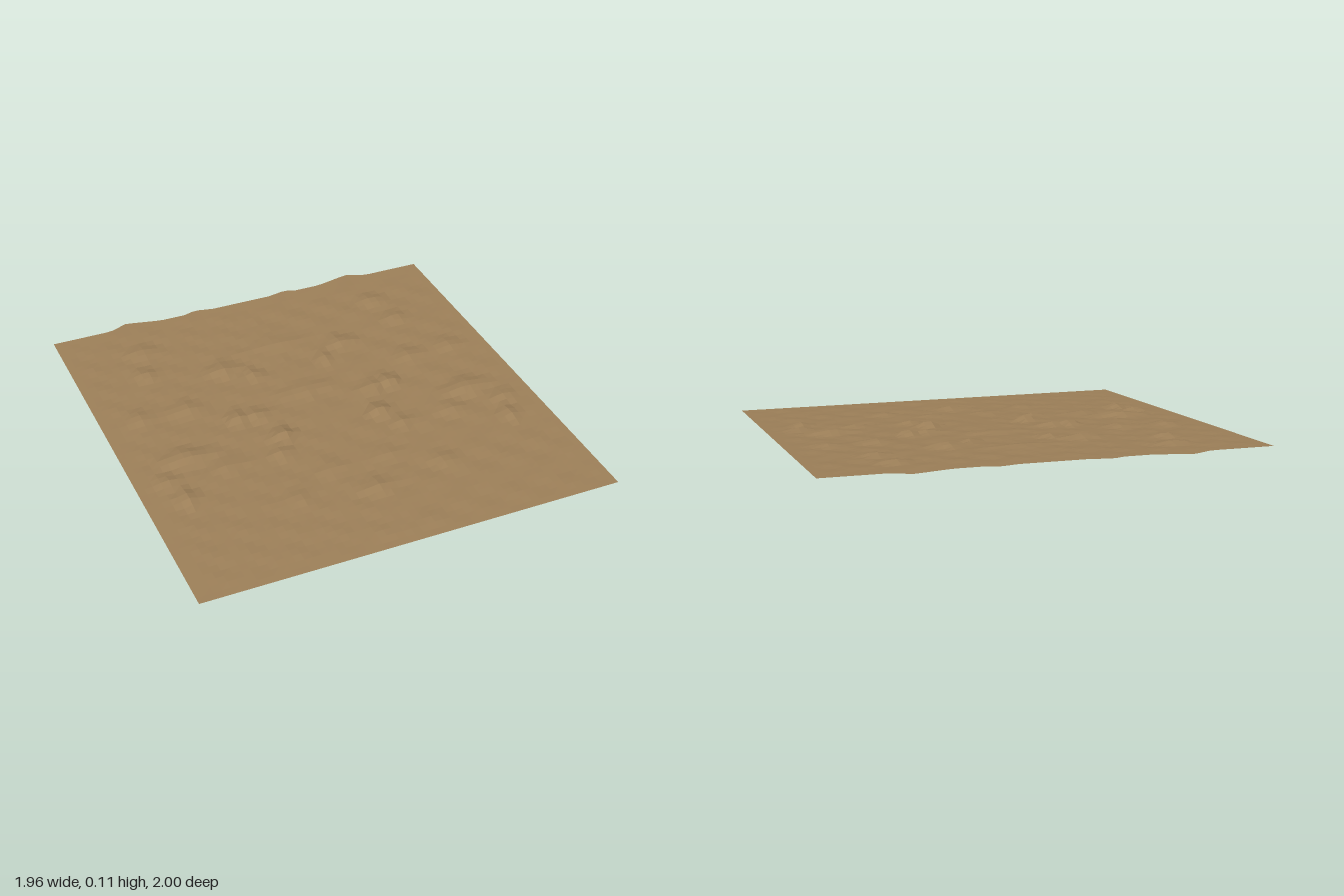
import * as THREE from 'three';

// Half width, front and back edges, height of the back edge
const W = 0.98, FRONT = 1, BACK = -0.96, RISE = 0.112;

// Mounds, mirrored in x: x, z, half width, height
const MOUNDS = [
  [0.24, 0.13, 0.06, 0.03], [0.79, 0.38, 0.06, 0.024], [0.70, 0.12, 0.17, 0.024],
  [0.29, 0.25, 0.06, 0.02], [0.85, 0.25, 0.08, 0.016], [0.55, 0.25, 0.10, 0.014],
  [0.39, -0.06, 0.05, 0.026], [0.29, -0.05, 0.07, 0.02], [0.30, -0.44, 0.11, 0.022],
  [0.18, -0.34, 0.05, 0.018], [0.66, -0.53, 0.08, 0.02], [0.80, -0.22, 0.10, 0.018],
  [0.57, -0.22, 0.11, 0.018], [0.61, -0.72, 0.10, 0.014], [0.14, 0.44, 0.09, 0.012],
  [0.35, 0.56, 0.10, 0.012], [0, 0.62, 0.13, 0.016], [0, -0.55, 0.18, 0.012],
  [0, -0.15, 0.15, 0.014], [0, 0.92, 0.18, 0.005],
];

// Bumps along the uneven back edge, mirrored in x: x, inner width, outer width, reach
const BACK_BUMPS = [[0.6, 0.17, 0.09, 0.04], [0.255, 0.1, 0.025, 0.023]];

// Triangular peak with its own slope on each side
const peak = (d, before, after) => Math.max(0, 1 - Math.abs(d) / (d < 0 ? before : after));

// Mounds with steep fronts over gentle ripples, measured above the slope
function relief(x, z) {
  let h = 0.0025 * (Math.sin(x * 23 + z * 9) * Math.sin(z * 27 - x * 6)
    + 0.7 * Math.sin(x * 41) * Math.cos(z * 37 + x * 11));
  for (const [mx, mz, r, height] of MOUNDS) {
    const across = Math.abs(x - mx) / r;
    const along = 1 - peak(z - mz, 0.085, 0.07);
    if (along < 1) h += height * Math.max(0, 1 - 0.8 * (across + along));
  }
  return h;
}

export function createModel() {
  const group = new THREE.Group();
  const earth = new THREE.MeshStandardMaterial({ color: 0x9c7f58, flatShading: true, side: THREE.DoubleSide });
  earth.name = 'brown earth';

  // One open sheet sloping up from front to back
  const geo = new THREE.PlaneGeometry(2 * W, FRONT - BACK, 52, 52);
  geo.rotateX(-Math.PI / 2);
  const p = geo.attributes.position;
  for (let i = 0; i < p.count; i++) {
    const x = p.getX(i), ax = Math.abs(x);
    let z = p.getZ(i) + (FRONT + BACK) / 2;
    const slope = RISE * (FRONT - z) / (FRONT - BACK);
    const edge = Math.min(W - ax, FRONT - z, z - BACK);
    const fade = Math.min(1, Math.max(0, edge / 0.12));
    const y = Math.min(0.117, Math.max(0, slope + fade * relief(ax, z)));
    // Push the back rows out into the edge bumps
    const pull = Math.max(0, 1 - (z - BACK) / 0.1);
    for (const [bx, inner, outer, reach] of BACK_BUMPS) z -= pull * reach * peak(ax - bx, inner, outer);
    p.setXYZ(i, x, y, z);
  }
  geo.computeVertexNormals();

  const ground = new THREE.Mesh(geo, earth);
  ground.name = 'terrainSheet';
  group.add(ground);
  return group;
}
